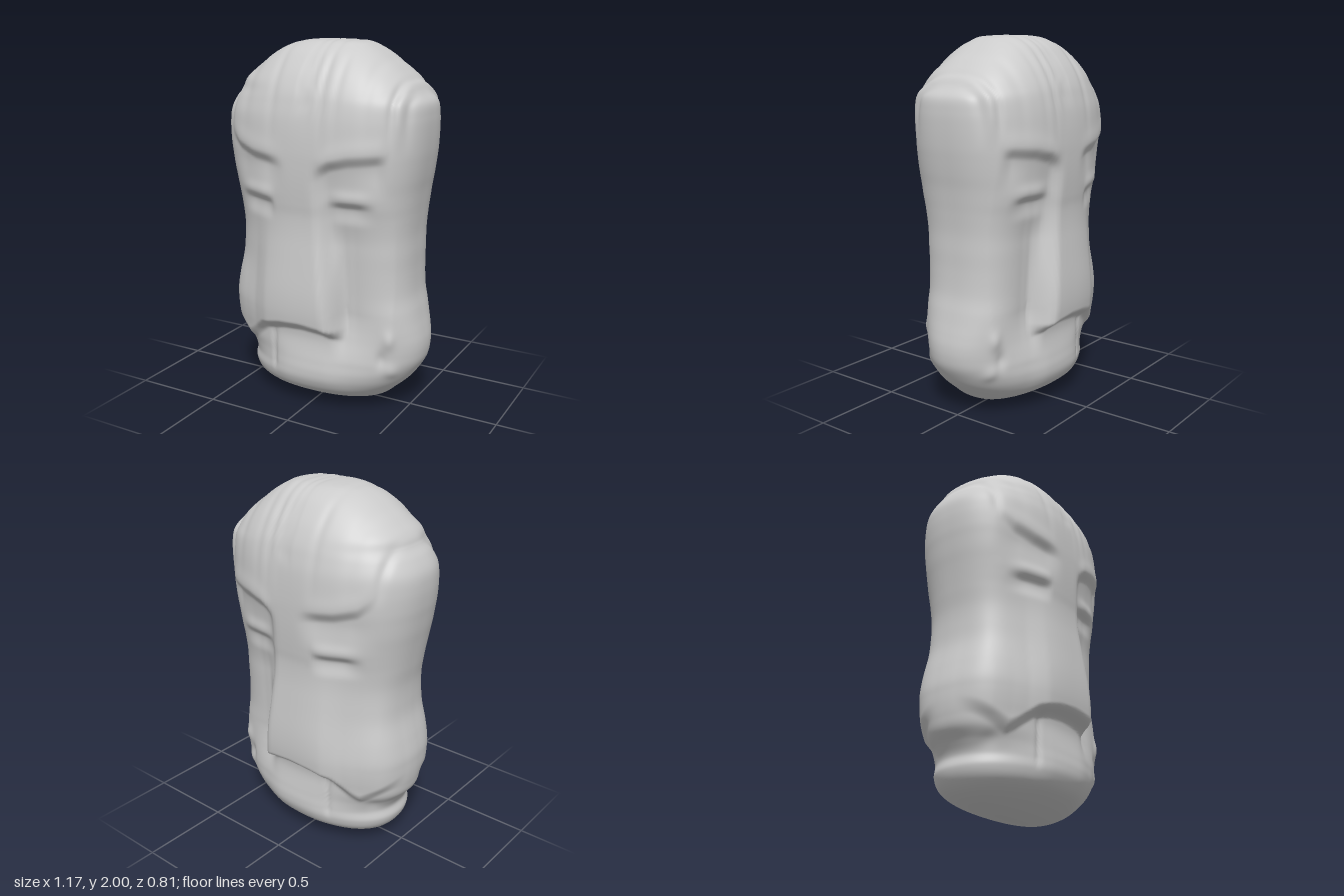
import * as THREE from 'three';

// Outline stations from bottom to top: height, right edge, left edge, half depth
const stations = [
  [0, 0, 0, 0], [0.004, -0.14, 0.14, 0.06], [0.02, -0.28, 0.27, 0.13], [0.06, -0.385, 0.37, 0.225],
  [0.11, -0.445, 0.43, 0.295], [0.17, -0.47, 0.495, 0.325], [0.23, -0.46, 0.54, 0.332], [0.29, -0.49, 0.573, 0.326],
  [0.35, -0.535, 0.585, 0.322], [0.41, -0.55, 0.585, 0.322], [0.47, -0.557, 0.575, 0.328], [0.53, -0.558, 0.562, 0.335],
  [0.59, -0.555, 0.55, 0.34], [0.68, -0.537, 0.532, 0.345], [0.8, -0.51, 0.525, 0.35], [0.9, -0.504, 0.525, 0.355],
  [1.0, -0.507, 0.525, 0.36], [1.1, -0.523, 0.533, 0.368], [1.17, -0.535, 0.541, 0.378], [1.24, -0.548, 0.55, 0.384],
  [1.31, -0.562, 0.562, 0.388], [1.38, -0.573, 0.572, 0.39], [1.45, -0.583, 0.58, 0.39], [1.54, -0.588, 0.585, 0.386],
  [1.62, -0.58, 0.585, 0.378], [1.69, -0.545, 0.575, 0.364], [1.74, -0.505, 0.535, 0.35], [1.79, -0.48, 0.495, 0.328],
  [1.84, -0.425, 0.44, 0.3], [1.89, -0.365, 0.38, 0.263], [1.935, -0.295, 0.315, 0.222], [1.965, -0.235, 0.265, 0.18],
  [1.988, -0.165, 0.215, 0.13], [1.998, -0.06, 0.11, 0.07], [2.0, 0.02, 0.02, 0]
];
const COLS = 200, SUB = 7;
const step = THREE.MathUtils.smoothstep;
const bump = (v, centre, width) => Math.exp(-(((v - centre) / width) ** 2));
const span = (v, a, b, soft) => step(v, a - soft, a + soft) * (1 - step(v, b - soft, b + soft));

// Straight interpolation through [x, value] pairs
function along(pairs, x) {
  if (x <= pairs[0][0]) return pairs[0][1];
  for (let i = 1; i < pairs.length; i++) {
    const [x0, v0] = pairs[i - 1], [x1, v1] = pairs[i];
    if (x <= x1) return v0 + (v1 - v0) * (x - x0) / (x1 - x0);
  }
  return pairs[pairs.length - 1][1];
}

// Smooth curve through the stations
function station(u) {
  const n = stations.length - 1, i = Math.min(Math.floor(u), n - 1), t = u - i;
  const at = k => stations[Math.max(0, Math.min(n, k))];
  const [a, b, c, d] = [at(i - 1), at(i), at(i + 1), at(i + 2)];
  return b.map((_, k) => 0.5 * (2 * b[k] + (c[k] - a[k]) * t
    + (2 * a[k] - 5 * b[k] + 4 * c[k] - d[k]) * t * t
    + (3 * b[k] - a[k] - 3 * c[k] + d[k]) * t * t * t));
}

const lipLine = [[-0.57, 0.46], [-0.46, 0.39], [-0.38, 0.335], [-0.34, 0.36], [-0.24, 0.445], [-0.12, 0.475], [0, 0.485], [0.12, 0.475], [0.22, 0.445]];
const lipDepth = [[-0.57, 0.015], [-0.46, 0.028], [-0.38, 0.028], [-0.3, 0.034], [-0.2, 0.062], [0.15, 0.07], [0.19, 0.06], [0.24, 0]];
const browLine = [[-0.5, 1.6], [-0.46, 1.5], [-0.4, 1.445], [-0.28, 1.41], [-0.12, 1.39], [0.08, 1.3], [0.12, 1.34], [0.18, 1.385], [0.28, 1.41], [0.46, 1.425], [0.5, 1.5]];
const noseEdge = [[0.45, 0.2], [0.6, 0.18], [0.9, 0.15], [1.3, 0.115]];
const cheekDepth = [[0.2, 0.07], [0.3, 0.055], [0.4, 0.025], [0.48, 0]];

// Carving of the face: how far the surface moves along its normal
function carve(x, y) {
  let h = 0;
  // upper mask and nose overhanging the mouth
  const lip = along(lipLine, x);
  h += along(lipDepth, x) * step(y, lip - 0.03, lip + 0.05) * (1 - step(y, 0.55, 1.2));
  // steep nose flank and hollow cheek on one side, soft cheek on the other
  const edge = along(noseEdge, y);
  h -= along(cheekDepth, x) * step(x, edge - 0.045, edge + 0.045) * step(y, 0.3, 0.58) * (1 - 0.4 * step(y, 0.95, 1.2)) * (1 - step(y, 1.2, 1.42));
  h -= 0.015 * bump(x, -0.32, 0.11) * span(y, 0.6, 1.3, 0.15);
  // eye sockets under the brow edge
  const brow = along(browLine, x);
  const socket = span(x, -0.43, -0.13, 0.07) + span(x, 0.125, 0.45, 0.035);
  h -= 0.024 * socket * (1 - step(y, brow - 0.035, brow + 0.035)) * step(y, 1.2, 1.38);
  h += 0.006 * socket * bump(y, brow + 0.05, 0.05);
  // closed eyes: lid with a recess beneath
  const eyes = span(x, -0.37, -0.165, 0.06) * step(-x, 0.14, 0.17) + span(x, 0.19, 0.37, 0.06);
  h += eyes * (0.01 * bump(y, 1.215, 0.035) - 0.018 * step(y, 1.06, 1.15) * (1 - step(y, 1.15, 1.2)));
  // hair ridges running over the crown
  const hair = step(y, 1.4, 1.75) * (1 - 0.6 * step(y, 1.85, 1.97));
  for (const [c, w, a] of [[-0.35, 0.04, 0.005], [-0.16, 0.025, 0.007], [0.02, 0.018, 0.008], [0.065, 0.016, 0.009],
    [0.13, 0.02, 0.01], [0.21, 0.022, 0.005], [0.36, 0.03, 0.005]]) h -= a * hair * bump(x, c, w);
  // folds at the left temple, hollow at the right temple
  h += span(y, 1.55, 1.82, 0.12) * (0.008 * bump(x, 0.505, 0.016) - 0.01 * bump(x, 0.475, 0.015) - 0.008 * bump(x, 0.54, 0.014));
  h -= 0.01 * bump(x, -0.485, 0.02) * span(y, 1.55, 1.8, 0.08);
  // chin crease, cheek lumps and chin edge
  h -= 0.012 * bump(x, -0.2, 0.014) * span(y, 0.2, 0.44, 0.04);
  h += 0.012 * span(x, -0.18, 0.2, 0.08) * span(y, 0.13, 0.36, 0.08);
  h -= 0.014 * bump(x, 0.43, 0.025) * bump(y, 0.34, 0.05);
  h += 0.014 * bump(x, 0.465, 0.025) * bump(y, 0.45, 0.05);
  h += 0.01 * bump(x, 0.47, 0.03) * bump(y, 0.27, 0.04);
  h -= 0.008 * bump(x, -0.43, 0.035) * bump(y, 0.28, 0.04);
  return h;
}

export function createModel() {
  const rows = (stations.length - 1) * SUB, pos = [], index = [];
  const power = (v, e) => Math.sign(v) * Math.abs(v) ** (2 / e);
  // Rounded-oval rings stacked upward, rounder at the chin and squarer on the left
  for (let i = 0; i <= rows; i++) {
    const [y, x0, x1, depth] = station(i / SUB);
    const rightPower = 2.2 + 0.15 * step(y, 0.1, 0.6);
    const leftPower = 2.2 + 0.45 * step(y, 0.2, 0.6);
    for (let j = 0; j < COLS; j++) {
      const t = (j / COLS) * Math.PI * 2, c = Math.cos(t), e = c > 0 ? leftPower : rightPower;
      pos.push((x0 + x1) / 2 + (x1 - x0) / 2 * power(c, e), y, depth * power(Math.sin(t), e));
      if (i < rows) {
        const a = i * COLS + j, b = i * COLS + (j + 1) % COLS;
        index.push(a, a + COLS, b, b, a + COLS, b + COLS);
      }
    }
  }
  const geo = new THREE.BufferGeometry();
  geo.setAttribute('position', new THREE.Float32BufferAttribute(pos, 3));
  geo.setIndex(index);
  geo.computeVertexNormals();
  // The same face is carved on front and back
  const p = geo.attributes.position, n = geo.attributes.normal;
  for (let i = 0; i < p.count; i++) {
    const x = p.getX(i), y = p.getY(i), z = p.getZ(i);
    const facing = step(Math.abs(z), 0.05, 0.2), depth = carve(x, y);
    const h = depth * facing * step(y, 0, 0.1);
    const crown = y > 1.75 ? depth * (1 - facing) : 0;
    p.setXYZ(i, x + n.getX(i) * h, y + n.getY(i) * (h + crown), z + n.getZ(i) * h);
  }
  geo.computeVertexNormals();

  const head = new THREE.Mesh(geo, new THREE.MeshStandardMaterial({ color: 0xcccccc }));
  head.name = 'carvedHead';
  const group = new THREE.Group();
  group.name = 'stoneHead';
  group.add(head);
  return group;
}
